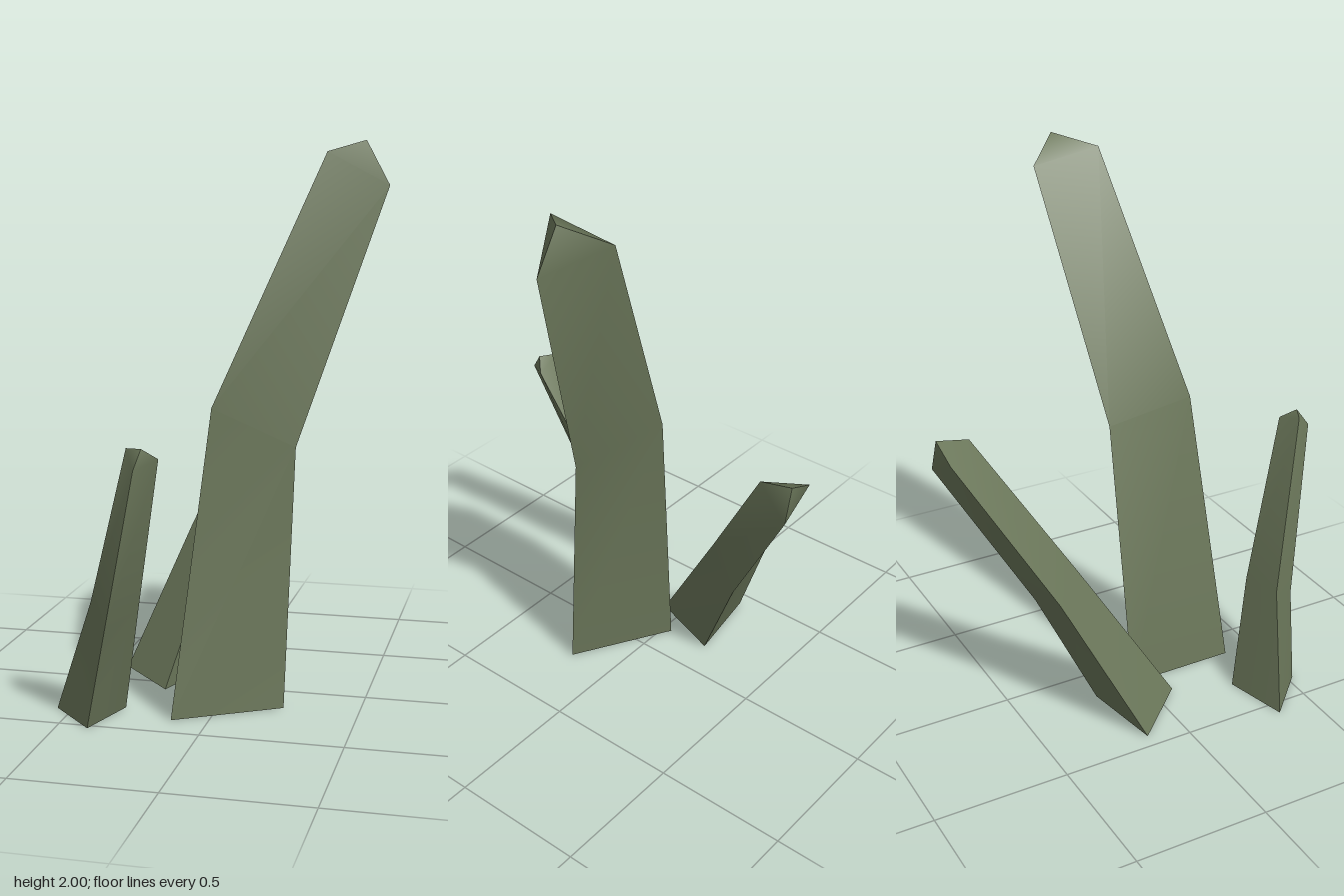
import * as THREE from 'three';
import { toCreasedNormals } from 'three/addons/utils/BufferGeometryUtils.js';

// Three-sided blade: rings of three corners from the ground up, closed by a tip, open below
function blade(name, rings, tip, material) {
  const points = [...rings.flat(), tip];
  const index = [];
  const last = (rings.length - 1) * 3;
  for (let i = 0; i < 3; i++) {
    const j = (i + 1) % 3;
    for (let r = 0; r < last; r += 3) {
      index.push(r + i, r + j, r + 3 + j, r + i, r + 3 + j, r + 3 + i);
    }
    index.push(last + i, last + j, last + 3);
  }
  const geometry = new THREE.BufferGeometry();
  geometry.setAttribute('position', new THREE.Float32BufferAttribute(points.flat(), 3));
  geometry.setIndex(index);
  // Bends along each side stay soft, the three long edges stay sharp
  const mesh = new THREE.Mesh(toCreasedNormals(geometry, 0.9), material);
  mesh.name = name;
  return mesh;
}

export function createModel() {
  const group = new THREE.Group();
  group.name = 'grassTuft';
  const green = new THREE.MeshStandardMaterial({ color: 0x6b775a, side: THREE.DoubleSide });
  green.name = 'mossGreen';

  // Tall blade leaning to the left
  group.add(blade('tallBlade', [
    [[-0.13, 0, -0.035], [-0.13, 0, 0.385], [0.23, 0, 0.175]],
    [[-0.02, 1.05, -0.07], [-0.01, 1.09, 0.27], [0.255, 0.935, 0.105]],
    [[0.345, 1.925, -0.17], [0.355, 1.96, 0.09], [0.555, 1.845, -0.03]],
  ], [0.47, 2, -0.04], green));

  // Short blade leaning forward
  group.add(blade('frontBlade', [
    [[-0.557, 0, 0.355], [-0.39, 0, 0.525], [-0.32, 0, 0.295]],
    [[-0.405, 0.42, 0.42], [-0.32, 0.34, 0.545], [-0.24, 0.4, 0.395]],
    [[-0.21, 1.005, 0.62], [-0.165, 0.945, 0.695], [-0.105, 0.97, 0.605]],
  ], [-0.15, 1.01, 0.65], green));

  // Short blade leaning backward
  group.add(blade('backBlade', [
    [[-0.445, 0, -0.145], [-0.235, 0, 0.08], [-0.14, 0, -0.195]],
    [[-0.25, 0.52, -0.39], [-0.1, 0.55, -0.25], [-0.04, 0.43, -0.39]],
    [[-0.04, 1.05, -0.69], [0.08, 1.075, -0.57], [0.115, 0.975, -0.7]],
  ], [0.075, 1.1, -0.695], green));

  return group;
}
